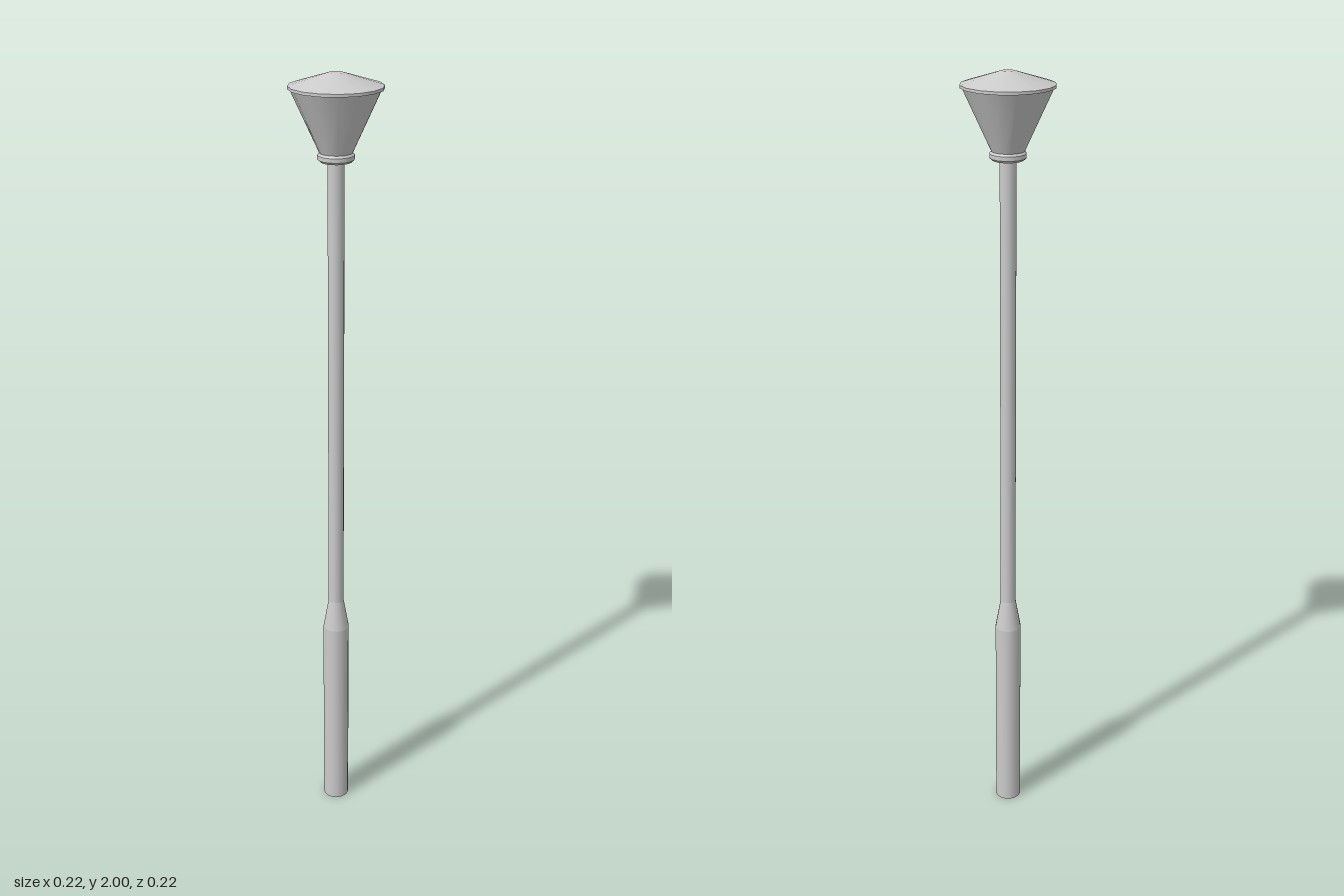
import * as THREE from 'three';

const SIDES = 16;

export function createModel() {
  const group = new THREE.Group();
  group.name = 'streetLamp';
  const material = new THREE.MeshStandardMaterial({ color: 0xcccccc });

  // Round section between two heights, smooth around and sharp at its ends
  const section = (name, y0, r0, y1, r1, open = false) => {
    const geometry = new THREE.CylinderGeometry(r1, r0, y1 - y0, SIDES, 1, open);
    const mesh = new THREE.Mesh(geometry, material);
    mesh.name = name;
    mesh.position.y = (y0 + y1) / 2;
    group.add(mesh);
  };

  // Post: thick base, tapered shoulder and slim pole
  section('base', 0, 0.034, 0.545, 0.034);
  section('shoulder', 0.545, 0.034, 0.625, 0.02, true);
  section('pole', 0.625, 0.02, 1.8, 0.02, true);

  // Collar holding the lamp head, with bevelled edges
  section('collarLowerBevel', 1.797, 0.037, 1.803, 0.044);
  section('collar', 1.803, 0.044, 1.813, 0.044);
  section('collarUpperBevel', 1.813, 0.044, 1.82, 0.038);

  // Flared lamp shade
  section('shade', 1.815, 0.038, 1.966, 0.108);

  // Lid: thin rim, shallow cone and small flat top
  section('lidRim', 1.964, 0.112, 1.971, 0.112);
  section('lid', 1.971, 0.112, 2, 0.017);

  return group;
}
